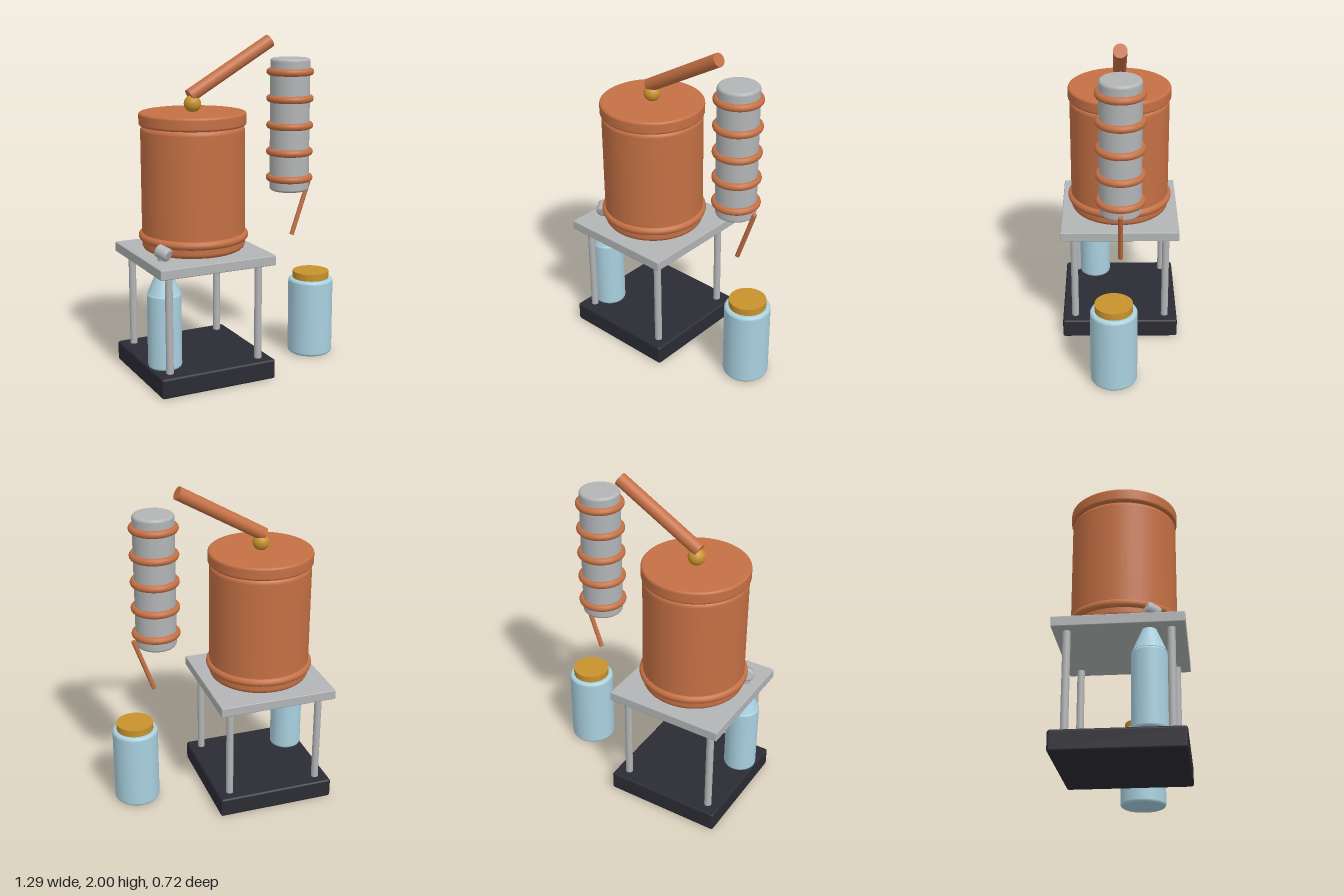
import * as THREE from 'three';
import { RoundedBoxGeometry } from 'three/addons/geometries/RoundedBoxGeometry.js';

const paint = (name, color) => {
  const m = new THREE.MeshStandardMaterial({ color });
  m.name = name;
  return m;
};

// Upright cylinder with filleted rims, base at y = 0
function filletedCylinder(r, h, f, segments = 48) {
  const pts = [new THREE.Vector2(0, 0)];
  const arc = (cy, a0) => {
    for (let i = 0; i <= 5; i++) {
      const a = a0 + (i / 5) * Math.PI / 2;
      pts.push(new THREE.Vector2(r - f + f * Math.cos(a), cy + f * Math.sin(a)));
    }
  };
  arc(f, -Math.PI / 2);
  arc(h - f, 0);
  pts.push(new THREE.Vector2(0, h));
  return new THREE.LatheGeometry(pts, segments);
}

export function createModel() {
  const copper = paint('copper', 0xc47044);
  const steel = paint('steel', 0xb2b4b5);
  const black = paint('black base', 0x2b2b34);
  const glass = paint('pale blue', 0xa9d0df);
  const brass = paint('brass', 0xc8922c);
  const model = new THREE.Group();

  const add = (name, geometry, material, x, y, z) => {
    const mesh = new THREE.Mesh(geometry, material);
    mesh.name = name;
    mesh.position.set(x, y, z);
    model.add(mesh);
    return mesh;
  };
  const rod = (name, from, to, r, material) => {
    const a = new THREE.Vector3(...from), b = new THREE.Vector3(...to);
    const mid = a.clone().add(b).multiplyScalar(0.5);
    const mesh = add(name, new THREE.CylinderGeometry(r, r, a.distanceTo(b), 24), material, mid.x, mid.y, mid.z);
    mesh.quaternion.setFromUnitVectors(new THREE.Vector3(0, 1, 0), b.sub(a).normalize());
    return mesh;
  };
  const ring = (name, R, t, x, y, z) => {
    add(name, new THREE.TorusGeometry(R, t, 14, 56), copper, x, y, z).rotation.x = Math.PI / 2;
  };

  // Stand
  const cx = -0.285;
  add('base', new RoundedBoxGeometry(0.722, 0.12, 0.722, 3, 0.014), black, cx, 0.063, 0);
  add('platform', new RoundedBoxGeometry(0.722, 0.06, 0.722, 2, 0.006), steel, cx, 0.73, 0);
  for (const sx of [-1, 1]) for (const sz of [-1, 1])
    rod('standLeg', [cx + sx * 0.283, 0.11, sz * 0.283], [cx + sx * 0.283, 0.71, sz * 0.283], 0.022, steel);

  // Boiling pot with lid
  add('pot', filletedCylinder(0.303, 0.73, 0.03, 64), copper, cx, 0.77, 0);
  ring('potRing', 0.298, 0.025, cx, 0.85, 0);
  add('lid', filletedCylinder(0.312, 0.078, 0.015, 64), copper, cx, 1.497, 0);
  add('lidKnob', new THREE.SphereGeometry(0.05, 28, 18), brass, cx, 1.62, 0);
  rod('vapourArm', [-0.303, 1.664, 0], [0.218, 1.965, 0], 0.04, copper);

  // Condenser with coil rings and spout
  add('condenser', filletedCylinder(0.12, 0.805, 0.018), steel, 0.36, 1.055, 0);
  for (let i = 0; i < 5; i++) ring('coilRing', 0.121, 0.022, 0.36, 1.135 + i * 0.161, 0);
  rod('spout', [0.498, 1.097, 0], [0.382, 0.768, 0], 0.014, copper);

  // Collecting jar
  add('jar', filletedCylinder(0.139, 0.485, 0.02), glass, 0.5, 0.005, 0.04);
  add('jarCap', new THREE.CylinderGeometry(0.112, 0.112, 0.05, 40), brass, 0.5, 0.508, 0.04);

  // Gas bottle behind the front left leg
  const bx = -0.547, bz = 0.163;
  add('gasBottle', filletedCylinder(0.099, 0.45, 0.018), glass, bx, 0.123, bz);
  add('bottleShoulder', new THREE.CylinderGeometry(0.035, 0.095, 0.14, 40), glass, bx, 0.64, bz);
  add('bottleNeck', new THREE.CylinderGeometry(0.035, 0.035, 0.11, 24), steel, bx, 0.76, bz);
  const valve = add('bottleValve', filletedCylinder(0.04, 0.085, 0.015, 28), steel, -0.575, 0.822, 0.145);
  valve.quaternion.setFromUnitVectors(
    new THREE.Vector3(0, 1, 0), new THREE.Vector3(0.45, -0.3, 0.75).normalize());

  return model;
}
